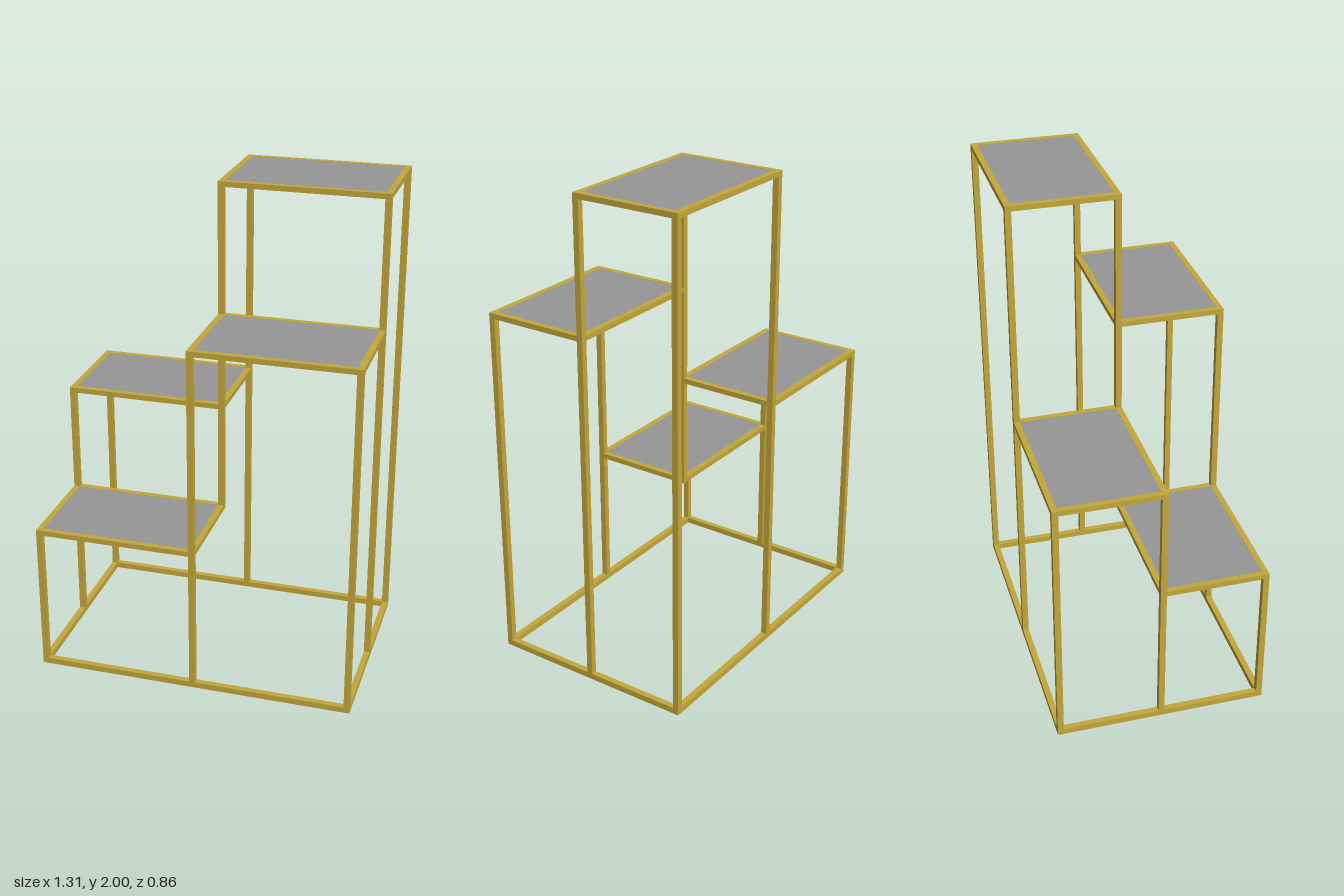
import * as THREE from 'three';

const T = 0.0245;          // square tube width
const RAIL = 0.021;        // shelf rail height
const X = 0.653 - T / 2;   // outer tube centre lines
const Z = 0.431 - T / 2;

export function createModel() {
  const model = new THREE.Group();
  model.name = 'steppedPlantStand';

  const brass = new THREE.MeshStandardMaterial({ color: 0xc4a83c });
  brass.name = 'brass';
  const grey = new THREE.MeshStandardMaterial({ color: 0x969696 });
  grey.name = 'greyPanel';

  // Box given by its lower and upper corners
  function box(parent, name, material, x0, x1, y0, y1, z0, z1) {
    const mesh = new THREE.Mesh(new THREE.BoxGeometry(x1 - x0, y1 - y0, z1 - z0), material);
    mesh.position.set((x0 + x1) / 2, (y0 + y1) / 2, (z0 + z1) / 2);
    mesh.name = name;
    parent.add(mesh);
  }

  // Rectangular frame of four rails between tube centre lines
  function frame(parent, name, xa, xb, za, zb, y0, y1) {
    const h = T / 2;
    for (const z of [za, zb]) box(parent, name, brass, xa + h, xb - h, y0, y1, z - h, z + h);
    for (const x of [xa, xb]) box(parent, name, brass, x - h, x + h, y0, y1, za + h, zb - h);
  }

  // Upright posts: x, z, bottom, top
  const posts = [
    [-X, Z, 0, 0.627], [0, Z, 0, 1.468], [X, Z, 0, 1.468],
    [-X, 0, 0, 1.082], [0, 0, 0.606, 2], [X, 0, 0, 2],
    [-X, -Z, 0, 1.082], [0, -Z, 0, 2], [X, -Z, 0, 2],
  ];
  for (const [x, z, y0, y1] of posts) {
    box(model, 'post', brass, x - T / 2, x + T / 2, y0, y1, z - T / 2, z + T / 2);
  }

  // Floor frame around the outside only
  const base = new THREE.Group();
  base.name = 'baseFrame';
  frame(base, 'baseRail', -X, X, -Z, Z, 0, T);
  model.add(base);

  // Four shelves at rising heights: x range, z range, top height
  const shelves = [
    [-X, 0, 0, Z, 0.627], [-X, 0, -Z, 0, 1.082],
    [0, X, 0, Z, 1.468], [0, X, -Z, 0, 2],
  ];
  for (const [xa, xb, za, zb, top] of shelves) {
    const shelf = new THREE.Group();
    shelf.name = 'shelf';
    frame(shelf, 'shelfRail', xa, xb, za, zb, top - RAIL, top);
    const h = T / 2;
    box(shelf, 'shelfPanel', grey, xa + h, xb - h, top - 0.009, top - 0.001, za + h, zb - h);
    model.add(shelf);
  }

  return model;
}
